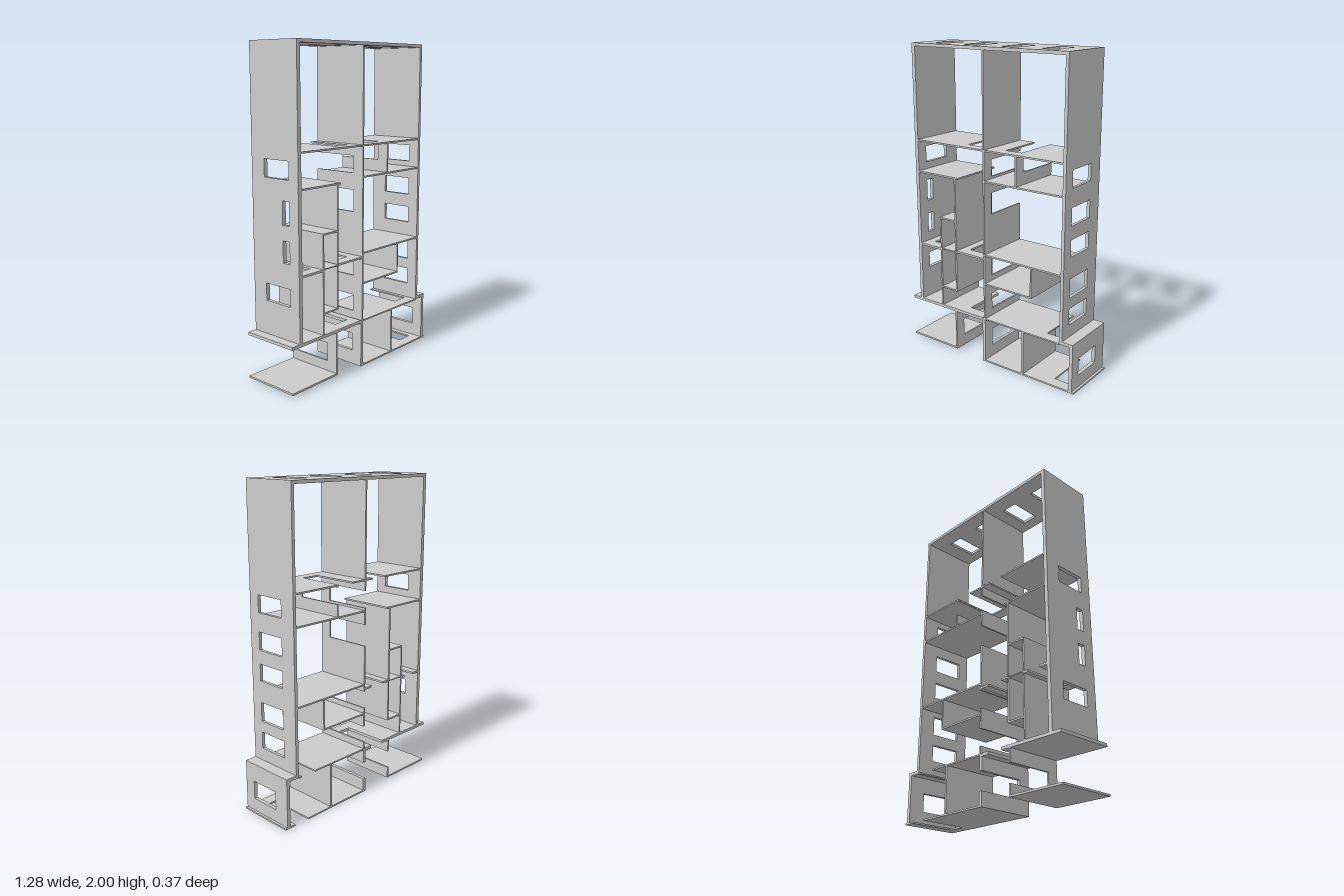
import * as THREE from 'three';

const BACK = -0.188, FRONT = 0.186;
const WZ0 = -0.085, WZ1 = 0.113; // depth range shared by all openings

const material = new THREE.MeshStandardMaterial({ color: 0xcccccc, flatShading: true });

// Flat panel lying in xz from u0 to u1: windows are closed holes, notches open to the back edge.
function panelGeometry(u0, u1, thickness, { windows = [], notches = [] }) {
  const shape = new THREE.Shape();
  shape.moveTo(u0, -FRONT);
  shape.lineTo(u1, -FRONT);
  shape.lineTo(u1, -BACK);
  for (const [a, b] of [...notches].sort((p, q) => q[0] - p[0])) {
    shape.lineTo(b, -BACK);
    shape.lineTo(b, -WZ1);
    shape.lineTo(a, -WZ1);
    shape.lineTo(a, -BACK);
  }
  shape.lineTo(u0, -BACK);
  shape.closePath();
  for (const [a, b, z0 = WZ0, z1 = WZ1] of windows) {
    const hole = new THREE.Path();
    hole.moveTo(a, -z0);
    hole.lineTo(b, -z0);
    hole.lineTo(b, -z1);
    hole.lineTo(a, -z1);
    hole.closePath();
    shape.holes.push(hole);
  }
  const g = new THREE.ExtrudeGeometry(shape, { depth: thickness, bevelEnabled: false });
  return g.rotateX(-Math.PI / 2);
}

export function createModel() {
  const model = new THREE.Group();
  model.name = 'shelvingHouse';

  const add = (name, geometry) => {
    const mesh = new THREE.Mesh(geometry, material);
    mesh.name = name;
    model.add(mesh);
  };
  // Horizontal panel
  const floor = (name, x0, x1, y0, y1, cuts = {}) =>
    add(name, panelGeometry(x0, x1, y1 - y0, cuts).translate(0, y0, 0));
  // Vertical panel
  const wall = (name, x0, x1, y0, y1, cuts = {}) =>
    add(name, panelGeometry(y0, y1, x1 - x0, cuts).rotateZ(Math.PI / 2).translate(x1, 0, 0));

  // Outer shell
  floor('roof', -0.585, 0.55, 1.98, 2.0, {
    windows: [[-0.478, -0.372], [-0.227, -0.12], [0.05, 0.156], [0.32, 0.422]],
  });
  wall('outerWallMinusX', -0.585, -0.56, 0.305, 1.98, {
    windows: [[1.24, 1.345], [0.98, 1.12, 0.06, WZ1], [0.76, 0.89, 0.06, WZ1], [0.51, 0.615]],
  });
  wall('outerWallPlusX', 0.53, 0.55, 0.3, 1.98, {
    windows: [[1.245, 1.35], [1.02, 1.13], [0.83, 0.935], [0.575, 0.695], [0.4, 0.505]],
  });
  wall('centreWall', -0.037, -0.026, 0.3, 1.98, {
    notches: [[0.35, 0.455], [0.58, 0.69], [0.985, 1.12], [1.225, 1.33]],
  });

  // Upper floors
  floor('upperFloorMinusX', -0.56, -0.037, 1.39, 1.4, { notches: [[-0.204, -0.098]] });
  floor('upperFloorPlusX', -0.026, 0.53, 1.39, 1.4, { notches: [[0.082, 0.198]] });
  wall('upperPartition', 0.2, 0.21, 1.21, 1.39, { notches: [[1.285, 1.385]] });
  floor('upperRoomFloor', -0.026, 0.53, 1.2, 1.21);

  // Stacked rooms on the -x side
  floor('tallRoomCeiling', -0.56, -0.235, 1.185, 1.195);
  wall('tallRoomWall', -0.267, -0.256, 0.71, 1.185);
  floor('nicheCeiling', -0.39, -0.267, 0.905, 0.915);
  wall('nicheWall', -0.39, -0.38, 0.7, 0.905);
  floor('middleFloorOuter', -0.56, -0.38, 0.69, 0.703, { notches: [[-0.505, -0.42]] });
  floor('middleFloorNiche', -0.38, -0.256, 0.7, 0.706);
  floor('middleFloorInner', -0.256, -0.037, 0.7, 0.712, { notches: [[-0.204, -0.098]] });
  wall('lowerNicheOuterWall', -0.39, -0.38, 0.305, 0.69);
  wall('lowerNicheInnerWall', -0.267, -0.256, 0.44, 0.7);
  floor('lowerNicheFloor', -0.39, -0.256, 0.43, 0.44);

  // Rooms on the +x side
  floor('middleFloorPlusX', -0.026, 0.53, 0.728, 0.738);
  wall('hangingRoomWall', 0.315, 0.325, 0.545, 0.728);
  floor('hangingRoomFloor', -0.026, 0.325, 0.535, 0.545);

  // Base: enclosed box on +x, open terrace on -x
  floor('baseCeiling', -0.037, 0.53, 0.294, 0.303, { notches: [[0.4, 0.506]] });
  floor('baseLedge', 0.53, 0.625, 0.3, 0.32);
  wall('baseOuterWall', 0.602, 0.625, 0.01, 0.3, { windows: [[0.09, 0.205]] });
  wall('baseCentreWall', -0.048, -0.027, 0.01, 0.3, { notches: [[0.09, 0.205]] });
  wall('basePartition', 0.257, 0.271, 0.01, 0.294);
  floor('baseFloor', -0.048, 0.64, 0, 0.01, { notches: [[0.46, 0.565]] });
  floor('terraceFloor', -0.645, -0.048, 0.286, 0.305, { notches: [[-0.204, -0.098]] });
  wall('terraceWall', -0.276, -0.265, 0.027, 0.286, { notches: [[0.09, 0.205]] });
  floor('terraceLowSlab', -0.645, -0.265, 0.015, 0.027);

  return model;
}
